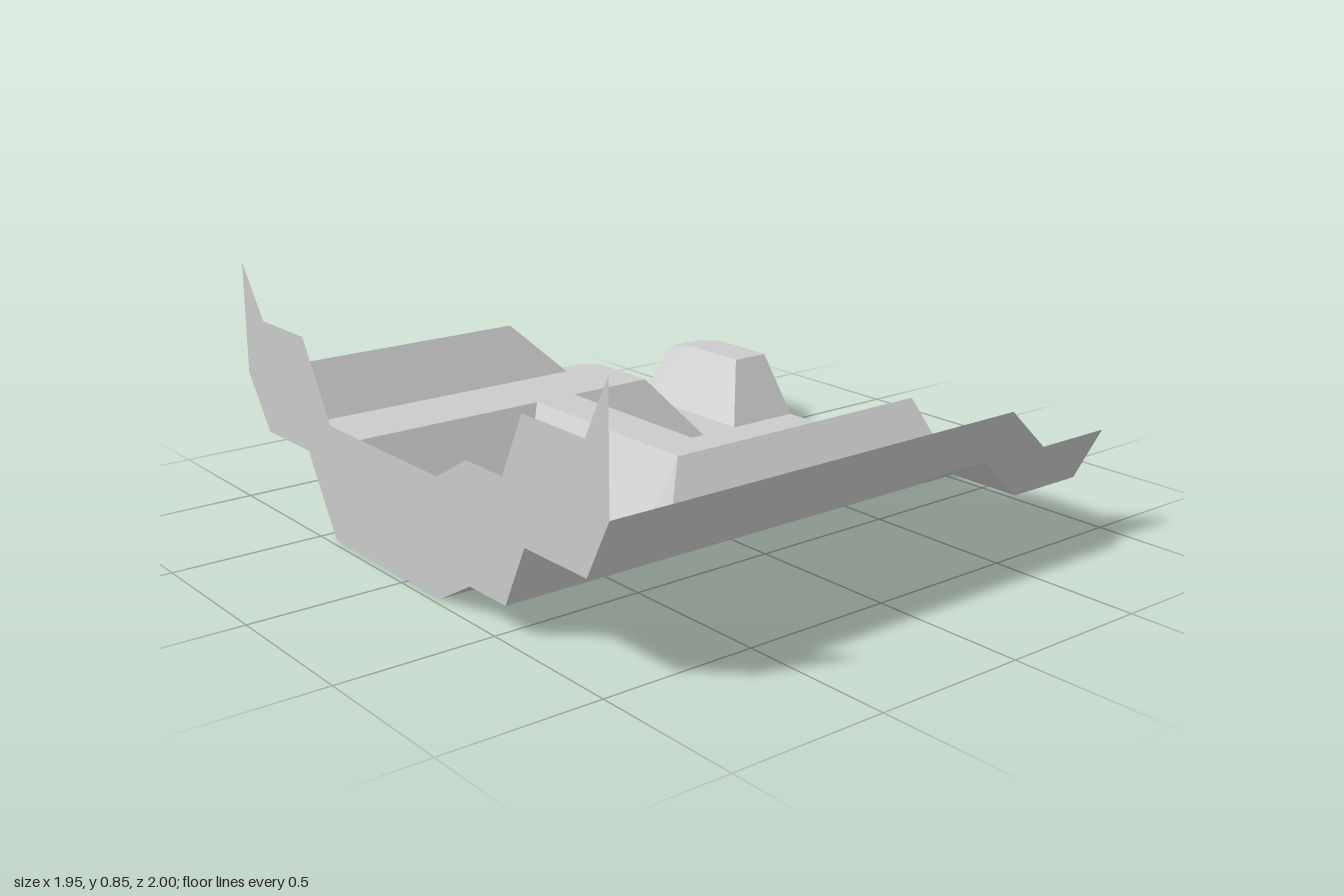
import * as THREE from 'three';

const material = new THREE.MeshStandardMaterial({ color: 0xcccccc, flatShading: true, side: THREE.DoubleSide });

// Grid lines where the folded floor creases
const xs = [-0.975, -0.25, -0.09, 0.07, 0.23, 0.39, 0.54, 0.69, 0.83, 0.975];
const zs = [-1, -0.87, -0.6, -0.445, 0.015, 0.18, 0.34, 0.52, 0.62, 0.9, 1];
const WALL_HEIGHT = 0.375;

// Floor height at a grid crossing
function height(x, z) {
  // front bank, lower beyond its sloped end
  if (z > 0.6) {
    const drop = x > 0.6 ? 0.14 : 0;
    return (z === 1 ? 0.475 : 0.29) - drop;
  }
  // front walkway
  if (z > 0.3) return 0.09;
  // sunken rooms and the channel leading out the back
  if (x <= -0.25 && z >= -0.445) return 0;
  if (x >= 0.23 && z >= -0.445 && z < 0.1) return 0.05;
  if (x > 0.5 && x < 0.7 && z < -0.4) return 0.05;
  // raised rear edge, otherwise the plateau
  if (z === -1) return x < 0.1 ? 0.43 : 0.23;
  return 0.255;
}

function triangleMesh(name, points) {
  const geometry = new THREE.BufferGeometry().setFromPoints(points);
  geometry.computeVertexNormals();
  const mesh = new THREE.Mesh(geometry, material);
  mesh.name = name;
  return mesh;
}

// Two triangles, split along the steeper diagonal so corners form clean hips
function quad(points, a, b, c, d) {
  if (Math.abs(a.y - c.y) >= Math.abs(b.y - d.y)) points.push(a, b, c, a, c, d);
  else points.push(a, b, d, b, c, d);
}

export function createModel() {
  const group = new THREE.Group();
  group.name = 'foldedTerrain';
  const at = (i, j, lift = 0) => new THREE.Vector3(xs[i], height(xs[i], zs[j]) + lift, zs[j]);

  const floor = [];
  const wall = [];
  for (let j = 0; j < zs.length - 1; j++) {
    for (let i = 0; i < xs.length - 1; i++) {
      quad(floor, at(i, j), at(i, j + 1), at(i + 1, j + 1), at(i + 1, j));
    }
    // side wall follows the floor profile
    quad(wall, at(0, j), at(0, j, WALL_HEIGHT), at(0, j + 1, WALL_HEIGHT), at(0, j + 1));
  }
  group.add(triangleMesh('floor', floor), triangleMesh('sideWall', wall));
  return group;
}
